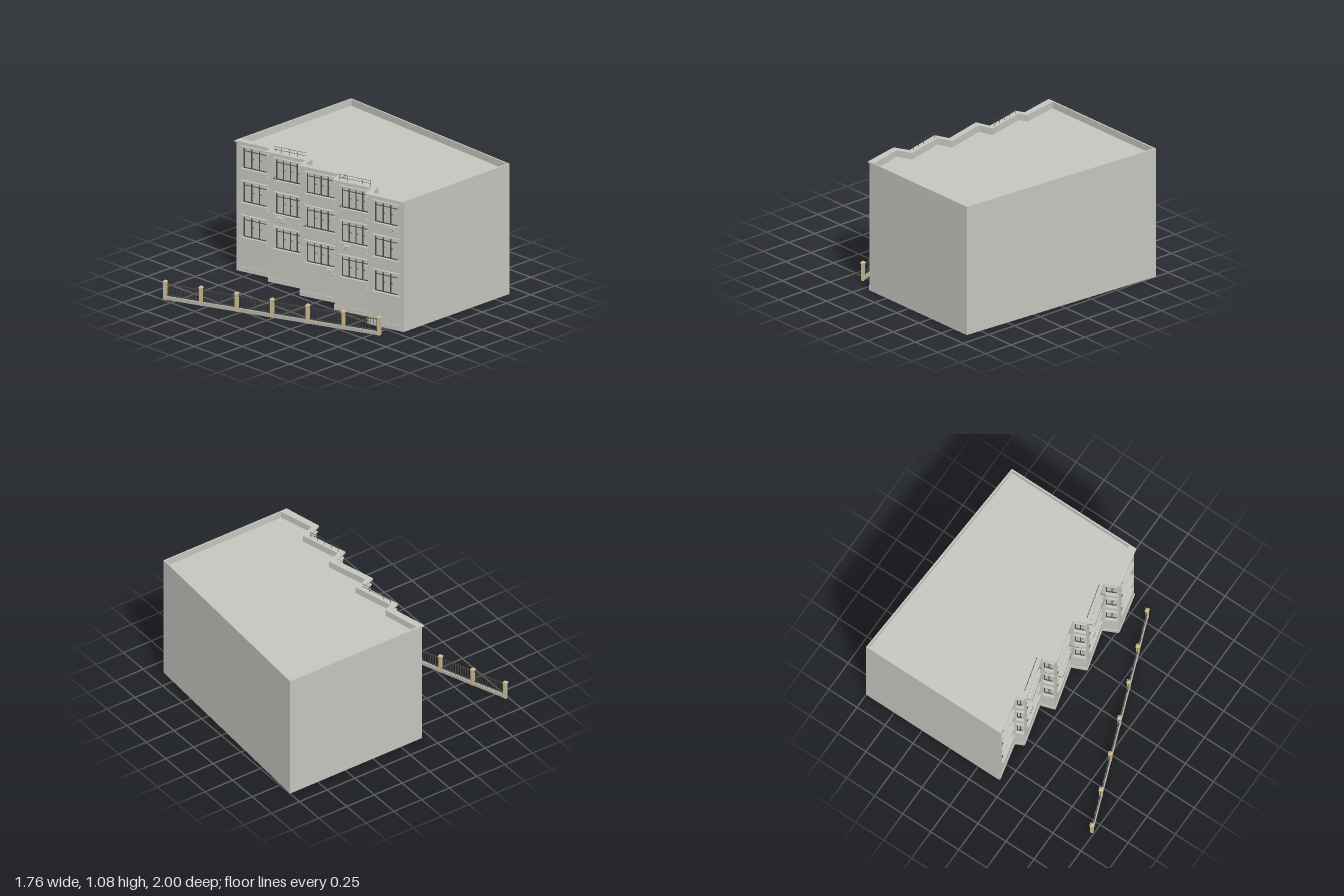
import * as THREE from 'three';

const mat = (name, color) => {
  const m = new THREE.MeshStandardMaterial({ color });
  m.name = name;
  return m;
};

export function createModel() {
  const wallMat = mat('concrete', 0xc5c6be);
  const glassMat = mat('glass', 0xc3c6be);
  const darkMat = mat('dark metal', 0x4c4c48);
  const unitMat = mat('pale metal', 0xc9c9c1);
  const tanMat = mat('tan stone', 0xcbb88f);
  const baseMat = mat('fence base', 0xb2b2aa);

  const model = new THREE.Group();
  model.name = 'building';

  const add = (parent, name, geo, material, x = 0, y = 0, z = 0) => {
    const m = new THREE.Mesh(geo, material);
    m.name = name;
    m.position.set(x, y, z);
    parent.add(m);
    return m;
  };
  const box = (parent, name, material, x0, x1, y0, y1, z0, z1) =>
    add(parent, name, new THREE.BoxGeometry(x1 - x0, y1 - y0, z1 - z0), material,
      (x0 + x1) / 2, (y0 + y1) / 2, (z0 + z1) / 2);
  // group whose local x runs from a to b on the ground and local z points outwards
  const frameAlong = (name, a, b) => {
    const g = new THREE.Group();
    g.name = name;
    g.position.set(a[0], 0, a[1]);
    g.rotation.y = Math.atan2(a[1] - b[1], b[0] - a[0]);
    model.add(g);
    return g;
  };
  const dist = (a, b) => Math.hypot(b[0] - a[0], b[1] - a[1]);

  // plan outline extruded upwards, with an optional hole
  const toPath = (pts, C) => new C(pts.map(([x, z]) => new THREE.Vector2(x, -z)));
  const prism = (name, pts, y0, y1, hole) => {
    const s = toPath(pts, THREE.Shape);
    if (hole) s.holes.push(toPath(hole, THREE.Path));
    const g = new THREE.ExtrudeGeometry(s, { depth: y1 - y0, bevelEnabled: false });
    add(model, name, g.rotateX(-Math.PI / 2), wallMat, 0, y0, 0);
  };

  // saw-tooth front, left to right as seen from the front
  const front = [[-0.872, 0.188], [-0.58, 0.12], [-0.548, 0.186], [-0.225, 0.102], [-0.188, 0.215],
    [0.15, 0.124], [0.198, 0.237], [0.518, 0.15], [0.573, 0.264], [0.88, 0.192]];
  const mid = front.slice(1, -1);
  const shifted = (dx, dz) => mid.map(([x, z]) => [x + dx, z + dz]);
  const back = [[0.88, -0.9], [-0.88, -1]];
  const core = [[-0.88, 0.189], [-0.866, 0.185], [-0.866, 0.163], ...shifted(0.013, -0.026),
    [0.866, 0.17], [0.866, 0.193], [0.88, 0.19], ...back];
  const inner = [[-0.868, 0.15], ...shifted(0.015, -0.037), [0.868, 0.152], [0.868, -0.888], [-0.868, -0.987]];
  const rim = [[-0.882, 0.208], ...shifted(-0.005, 0.019), [0.88, 0.211], ...back];

  prism('mainBody', core, 0, 0.98);
  prism('parapet', core, 0.98, 1.018, inner);
  prism('cornice', rim, 1.018, 1.032, inner);

  const rows = [[0.275, 0.44], [0.55, 0.715], [0.82, 0.985]];
  const DEPTH = 0.02;

  // recessed window with frame, mullions, transom, sill and lintel
  const addWindow = (g, u0, u1, y0, y1, panes, over) => {
    const w = new THREE.Group();
    w.name = 'window';
    g.add(w);
    const t = 0.006, zb = -0.016, zf = -0.006;
    box(w, 'glass', glassMat, u0, u1, y0, y1, -0.019, -0.014);
    for (let i = 0; i <= panes; i++) {
      const u = u0 + t / 2 + (u1 - u0 - t) * i / panes;
      box(w, 'mullion', darkMat, u - t / 2, u + t / 2, y0, y1, zb, zf);
      if (i > 0 && i < panes) box(w, 'handle', darkMat, u + 0.012, u + 0.015, y0 + 0.075, y0 + 0.085, zb, zf);
    }
    for (const y of [y0, y1 - 0.032, y1 - t])
      box(w, 'frameRail', darkMat, u0, u1, y, y + t * (y === y1 - 0.032 ? 0.6 : 1), zb, zf);
    box(w, 'sill', wallMat, u0 - over, u1 + over, y0 - 0.012, y0, -0.015, 0.016);
    box(w, 'lintel', wallMat, u0 - over, u1 + over, y1 + 0.002, y1 + 0.012, -0.015, 0.016);
  };

  // air conditioner hung on the wall
  const addCooler = (g, u0, u1, y0) => {
    const c = new THREE.Group();
    c.name = 'airConditioner';
    g.add(c);
    box(c, 'case', unitMat, u0, u1, y0 + 0.004, y0 + 0.038, 0.002, 0.022);
    const ring = new THREE.TorusGeometry(0.009, 0.001, 6, 20);
    add(c, 'fanRing', ring, darkMat, u0 + (u1 - u0) * 0.4, y0 + 0.021, 0.022);
    for (const u of [u0 + 0.005, u1 - 0.008])
      box(c, 'bracket', darkMat, u, u + 0.003, y0, y0 + 0.004, 0, 0.024);
  };

  // drying rack in front of a window
  const addRack = (g, u0, u1, y0) => {
    const r = new THREE.Group();
    r.name = 'dryingRack';
    g.add(r);
    const t = 0.002;
    box(r, 'rackRail', darkMat, u0, u1, y0 + 0.02, y0 + 0.02 + t, 0.04, 0.04 + t);
    for (const u of [u0, u1 - t]) {
      box(r, 'rackArm', darkMat, u, u + t, y0 + 0.02, y0 + 0.02 + t, 0, 0.042);
      box(r, 'rackStrut', darkMat, u, u + t, y0, y0 + 0.02, 0.012, 0.012 + t);
    }
  };

  const bays = [
    { win: [-0.825, -0.625], panes: 3 },
    { win: [-0.49, -0.255], panes: 4, rack: 2, cooler: [-0.47, 0.493] },
    { win: [-0.135, 0.097], panes: 4, rack: 1, cooler: [0.037, 0.22] },
    { win: [0.253, 0.48], panes: 4, rack: 2, cooler: [0.278, 0.493] },
    { win: [0.63, 0.825], panes: 3, cooler: [0.768, 0.77] },
  ];
  const returnCoolers = { 3: 0.77, 5: 0.495 };

  // facade panels: even ones are bays, odd ones the short returns between them
  for (let i = 0; i < front.length - 1; i++) {
    const a = front[i], b = front[i + 1], len = dist(a, b);
    const bay = i % 2 === 0 ? bays[i / 2] : null;
    const g = frameAlong(bay ? 'facadeBay' : 'facadeReturn', a, b);
    const toU = x => (x - a[0]) * len / (b[0] - a[0]);
    const [u0, u1] = bay ? bay.win.map(toU) : [len * 0.25, len * 0.9];

    const s = new THREE.Shape([[0, 0], [len, 0], [len, 1.018], [0, 1.018]].map(p => new THREE.Vector2(...p)));
    for (const [y0, y1] of rows)
      s.holes.push(new THREE.Path([[u0, y0], [u0, y1], [u1, y1], [u1, y0]].map(p => new THREE.Vector2(...p))));
    add(g, 'wall', new THREE.ExtrudeGeometry(s, { depth: DEPTH, bevelEnabled: false }), wallMat, 0, 0, -DEPTH);
    box(g, 'plinth', wallMat, 0, len, 0, 0.04, -0.01, 0.005);

    for (const [y0, y1] of rows) addWindow(g, u0, u1, y0, y1, bay ? bay.panes : 2, bay ? 0.015 : 0.005);
    if (bay && bay.rack) addRack(g, u0, u1 + 0.02, rows[bay.rack][0]);
    if (bay && bay.cooler) {
      const u = toU(bay.cooler[0]);
      addCooler(g, u, u + 0.054, bay.cooler[1]);
    }
    if (returnCoolers[i]) addCooler(g, len * 0.3, len * 0.3 + 0.054, returnCoolers[i]);
  }

  // roof railings
  for (const [a, b] of [[[-0.518, 0.166], [-0.248, 0.094]], [[0.226, 0.22], [0.488, 0.15]]]) {
    const g = frameAlong('roofRailing', a, b), len = dist(a, b), t = 0.002;
    for (const y of [1.052, 1.075]) box(g, 'rail', darkMat, 0, len, y, y + t, -t / 2, t / 2);
    for (let i = 0; i < 5; i++) {
      const u = (len - t) * i / 4;
      box(g, 'post', darkMat, u, u + t, 1.03, 1.077, -t / 2, t / 2);
    }
  }

  // garden fence, running at an angle to the building
  const fa = [-0.828, 0.98], fb = [0.794, 0.367], fl = dist(fa, fb);
  const fence = frameAlong('fence', fa, fb);
  box(fence, 'fenceBase', baseMat, 0, fl, 0, 0.026, -0.009, 0.009);
  for (const y of [0.036, 0.12]) box(fence, 'fenceRail', darkMat, 0, fl, y, y + 0.004, -0.002, 0.002);
  const posts = 7, pickets = 12, gap = fl / (posts - 1);
  for (let i = 0; i < posts; i++) {
    const u = i * gap;
    box(fence, 'fencePost', tanMat, u - 0.012, u + 0.012, 0, 0.136, -0.012, 0.012);
    box(fence, 'postCap', tanMat, u - 0.016, u + 0.016, 0.136, 0.144, -0.016, 0.016);
    const tip = new THREE.ConeGeometry(0.02, 0.014, 4).rotateY(Math.PI / 4).toNonIndexed();
    tip.computeVertexNormals();
    add(fence, 'postTip', tip, tanMat, u, 0.151, 0);
    if (i === posts - 1) break;
    for (let k = 1; k <= pickets; k++) {
      const p = u + gap * k / (pickets + 1);
      box(fence, 'picket', darkMat, p - 0.0015, p + 0.0015, 0.026, 0.13, -0.0015, 0.0015);
    }
  }
  return model;
}
